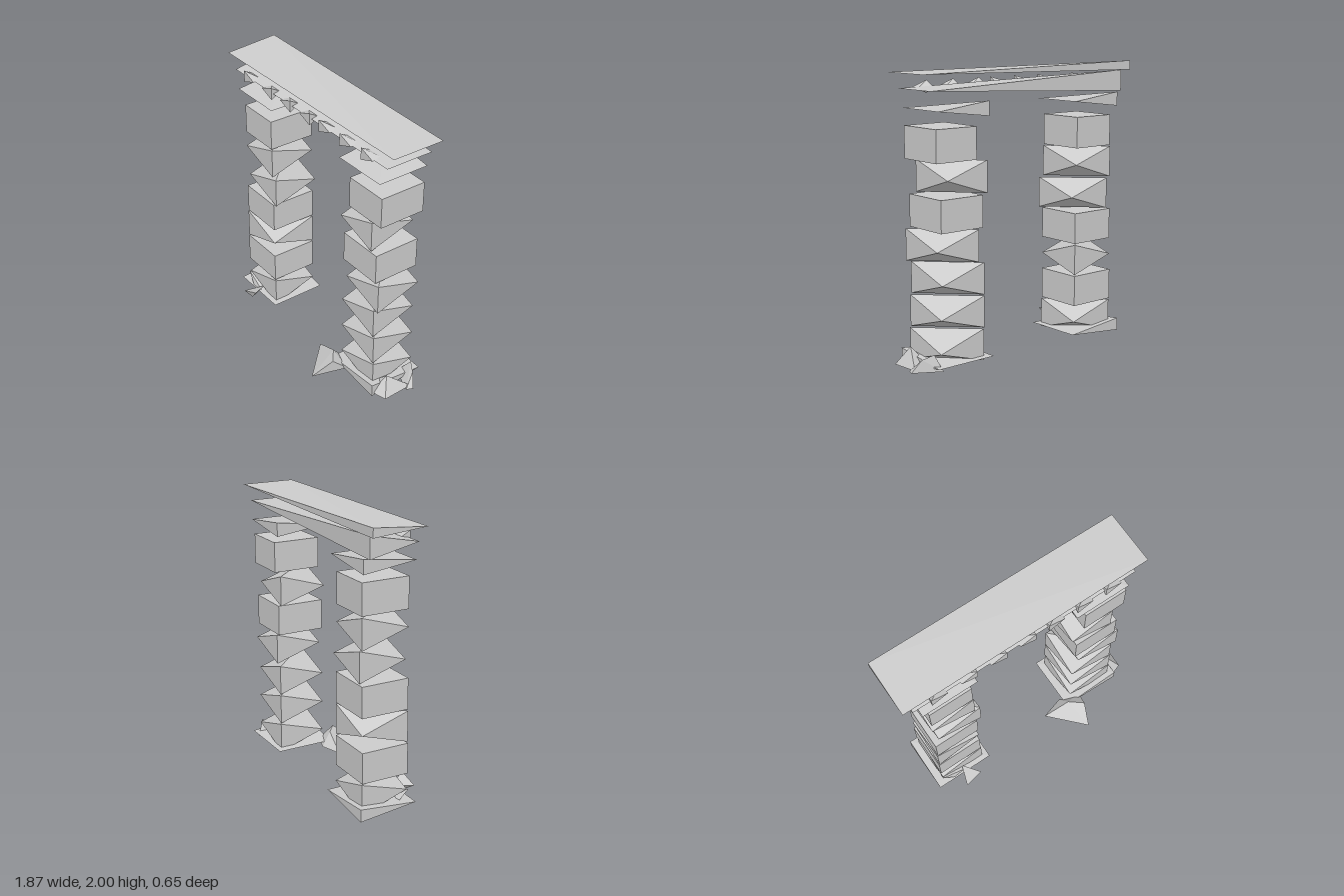
import * as THREE from 'three';
import { ConvexGeometry } from 'three/addons/geometries/ConvexGeometry.js';

const material = new THREE.MeshStandardMaterial({ color: 0xcccccc, flatShading: true });

function hull(name, points) {
  const mesh = new THREE.Mesh(new ConvexGeometry(points.map((p) => new THREE.Vector3(...p))), material);
  mesh.name = name;
  return mesh;
}

// Stone slab: listed corners keep a full vertical edge, the others pinch to
// a point at mid height. Corners: F/B = front/back, N/P = -x/+x side.
const ALL = ['FN', 'FP', 'BN', 'BP'];
function stone(name, [x0, x1], [y0, y1], [z0, z1], full = ALL) {
  const points = [];
  for (const corner of ALL) {
    const x = corner[1] === 'N' ? x0 : x1;
    const z = corner[0] === 'F' ? z1 : z0;
    const heights = full.includes(corner) ? [y0, y1] : [(y0 + y1) / 2];
    for (const y of heights) points.push([x, y, z]);
  }
  return hull(name, points);
}

const RIDGE = ['FP', 'BN'];
const CROSS_RIDGE = ['FN', 'BP'];

// Stacked blocks from bottom to top: x range and full corners
const columns = {
  rightColumn: [
    [-0.785, -0.43, RIDGE], [-0.79, -0.435, ALL], [-0.785, -0.435, CROSS_RIDGE], [-0.78, -0.435, ALL],
    [-0.745, -0.4, RIDGE], [-0.775, -0.44, RIDGE], [-0.77, -0.445, ALL],
  ],
  leftColumn: [
    [0.405, 0.765, RIDGE], [0.4, 0.76, RIDGE], [0.4, 0.75, RIDGE], [0.445, 0.79, RIDGE],
    [0.41, 0.755, ALL], [0.37, 0.7, RIDGE], [0.46, 0.79, ALL],
  ],
};

export function createModel() {
  const model = new THREE.Group();
  model.name = 'ruinedGate';

  // Columns
  for (const [name, blocks] of Object.entries(columns)) {
    const column = new THREE.Group();
    column.name = name;
    blocks.forEach(([x0, x1, full], i) => {
      const y = 0.13 + i * 0.2295;
      column.add(stone('columnBlock', [x0, x1], [y - 0.11, y + 0.11], [-0.29, 0.06], full));
    });
    model.add(column);
  }

  // Bases and capitals
  model.add(
    stone('rightBase', [-0.84, -0.385], [0.005, 0.095], [-0.33, 0.1], ['BN']),
    stone('leftBase', [0.35, 0.81], [0, 0.095], [-0.33, 0.1], ['FP']),
    stone('rightCapital', [-0.82, -0.405], [1.68, 1.78], [-0.31, 0.08], ['BN']),
    stone('leftCapital', [0.37, 0.785], [1.68, 1.78], [-0.31, 0.08], ['BN']),
  );

  // Lintel and cornice
  model.add(
    stone('lintel', [-0.87, 0.835], [1.785, 1.935], [-0.295, 0.065], ['BN']),
    stone('cornice', [-0.94, 0.91], [1.935, 2], [-0.315, 0.08], ['BN']),
  );

  // Row of small studs along the lintel front
  for (let i = 0; i < 7; i++) {
    const x = -0.74 + i * 0.2217;
    const full = i > 0 && i < 4 ? ['FP'] : ['FN'];
    model.add(stone('lintelStud', [x, x + 0.12], [1.818, 1.905], [0, 0.08], full));
  }

  // Fallen rubble around the bases
  const rubble = [
    [[0.16, 0.02, 0.07], [0.405, 0.01, 0.325], [0.49, 0.02, 0.07], [0.33, 0.02, 0.02],
      [0.46, 0.115, 0.18], [0.36, 0.115, 0.1]],
    [[0.82, 0.135, -0.02], [0.76, 0.08, 0], [0.9, 0.01, 0.05], [0.9, 0.02, -0.18],
      [0.79, 0.02, 0.09], [0.74, 0.02, -0.1]],
    [[0.8, 0.13, -0.26], [0.87, 0.1, -0.22], [0.93, 0.01, -0.18], [0.91, 0.01, -0.13],
      [0.76, 0.02, -0.31], [0.72, 0.02, -0.2]],
    [[-0.66, 0.07, 0.205], [-0.52, 0.125, 0.19], [-0.6, 0.03, 0.17], [-0.61, 0.08, 0.05]],
    [[-0.79, 0.13, 0.07], [-0.6, 0.05, 0.08], [-0.7, 0.05, 0.09], [-0.64, 0.1, 0], [-0.78, 0.05, 0]],
  ];
  for (const points of rubble) model.add(hull('rubble', points));

  return model;
}
